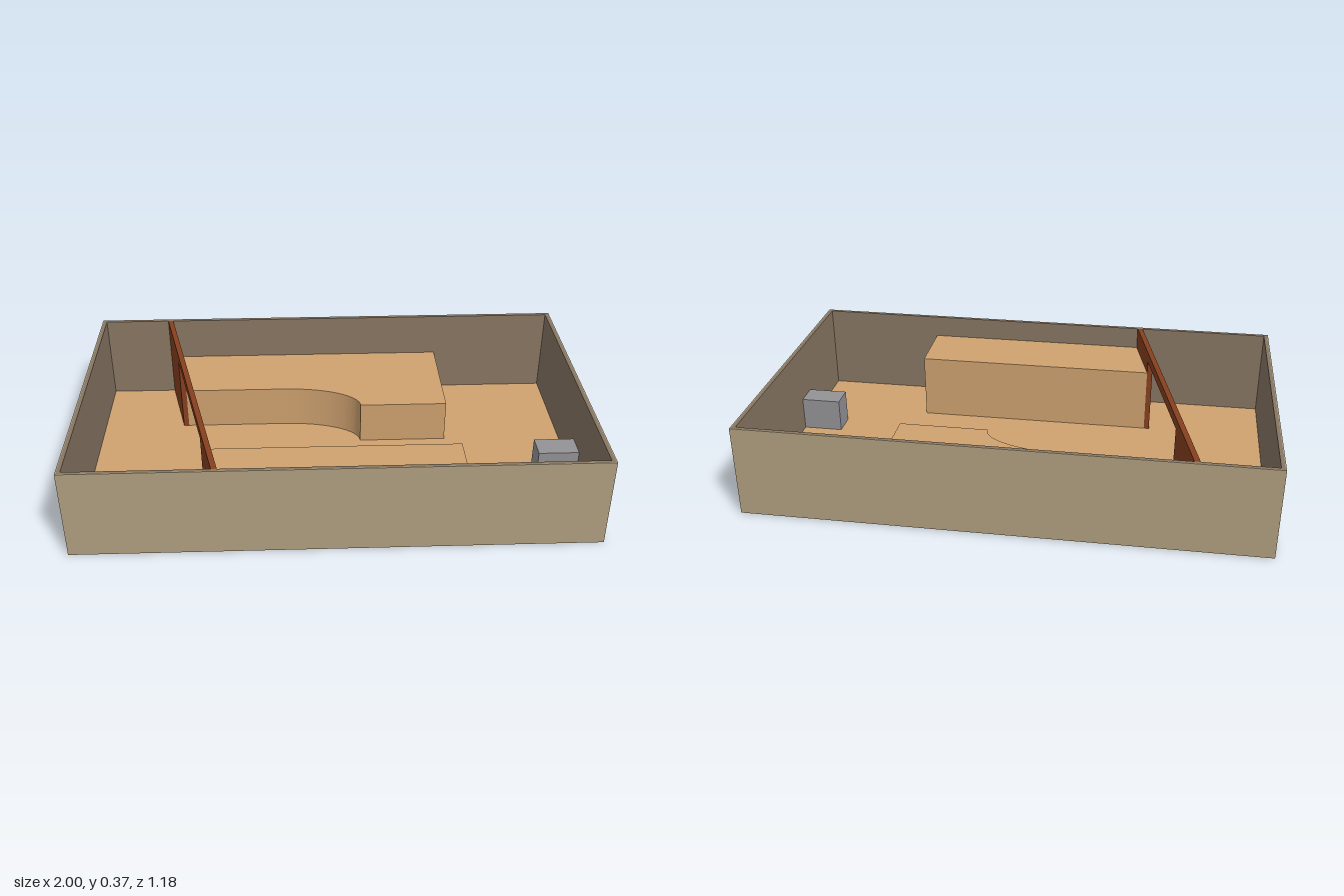
import * as THREE from 'three';

const H = 0.365;            // wall height
const HX = 1, HZ = 0.59;    // outer half sizes
const SKIN = 0.004;         // outer cladding thickness
const IX = 0.982, IZ = 0.574; // inner half sizes
const FLOOR = 0.006;

const colour = (name, hex) => {
  const m = new THREE.MeshStandardMaterial({ color: hex });
  m.name = name;
  return m;
};

// Upright prism from a plan shape (plan y = -z) between two heights
function prism(name, shape, y0, y1, material) {
  const geo = new THREE.ExtrudeGeometry(shape, { depth: y1 - y0, bevelEnabled: false, curveSegments: 24 });
  geo.rotateX(-Math.PI / 2);
  geo.translate(0, y0, 0);
  const mesh = new THREE.Mesh(geo, material);
  mesh.name = name;
  return mesh;
}

function box(name, x0, x1, y0, y1, z0, z1, material) {
  const mesh = new THREE.Mesh(new THREE.BoxGeometry(x1 - x0, y1 - y0, z1 - z0), material);
  mesh.position.set((x0 + x1) / 2, (y0 + y1) / 2, (z0 + z1) / 2);
  mesh.name = name;
  return mesh;
}

const plan = (pts) => new THREE.Shape(pts.map(([x, z]) => new THREE.Vector2(x, -z)));
const rect = (x, z) => [[-x, z], [x, z], [x, -z], [-x, -z]];

// Centre line of the slanted partition
const partitionX = (z) => -0.57 + 0.224 * z;

export function createModel() {
  const cladding = colour('khaki cladding', 0xb0a080);
  const lining = colour('brown lining', 0x887663);
  const timber = colour('tan board', 0xcfa270);
  const rust = colour('red brown', 0x87401f);
  const grey = colour('grey', 0x939396);

  const model = new THREE.Group();
  model.name = 'openRoom';

  // Floor
  model.add(box('floor', -HX + 0.001, HX - 0.001, 0, FLOOR, -HZ + 0.001, HZ - 0.001, timber));

  // Walls: inner lining ring with thin outer cladding
  const ring = plan(rect(HX - SKIN, HZ - SKIN));
  ring.holes.push(new THREE.Path(rect(IX, IZ).map(([x, z]) => new THREE.Vector2(x, -z))));
  model.add(prism('wallLining', ring, 0.002, H, lining));
  for (const s of [-1, 1]) {
    const zs = [s * HZ, s * (HZ - SKIN)].sort((a, b) => a - b);
    const xs = [s * HX, s * (HX - SKIN)].sort((a, b) => a - b);
    model.add(box(s > 0 ? 'frontCladding' : 'backCladding', -HX, HX, 0.001, H, zs[0], zs[1], cladding));
    model.add(box(s > 0 ? 'leftCladding' : 'rightCladding', xs[0], xs[1], 0.001, H, -HZ + SKIN, HZ - SKIN, cladding));
  }

  // Slanted partition: two panels and a lintel over the wide opening
  const partition = new THREE.Group();
  partition.name = 'partition';
  const strip = (z0, z1) => plan([
    [partitionX(z0) - 0.011, z0], [partitionX(z1) - 0.011, z1],
    [partitionX(z1) + 0.011, z1], [partitionX(z0) + 0.011, z0],
  ]);
  partition.add(prism('backPanel', strip(-IZ, -0.27), FLOOR, H, rust));
  partition.add(prism('frontPanel', strip(0.313, IZ), FLOOR, H, rust));
  partition.add(prism('lintel', strip(-0.27, 0.313), 0.325, H, rust));
  model.add(partition);

  // Low back block with a hollow curved front
  const low = new THREE.Shape();
  low.moveTo(partitionX(-IZ) + 0.011, IZ);
  low.lineTo(partitionX(-0.27) + 0.011, 0.27);
  low.lineTo(-0.2, 0.27);
  low.absellipse(-0.2, 0.125, 0.325, 0.145, Math.PI / 2, 0, true);
  low.lineTo(0.487, 0.125);
  low.lineTo(0.487, IZ);
  low.closePath();
  model.add(prism('backBlock', low, FLOOR, 0.183, timber));

  // Taller front block
  model.add(prism('frontBlock', plan([
    [partitionX(0.313) + 0.011, 0.313], [partitionX(IZ) + 0.011, IZ], [0.487, IZ], [0.487, 0.313],
  ]), FLOOR, 0.274, timber));

  // Small cabinet against the left wall
  model.add(box('cabinet', 0.82, IX, FLOOR, 0.142, 0.1, 0.2, grey));

  return model;
}
